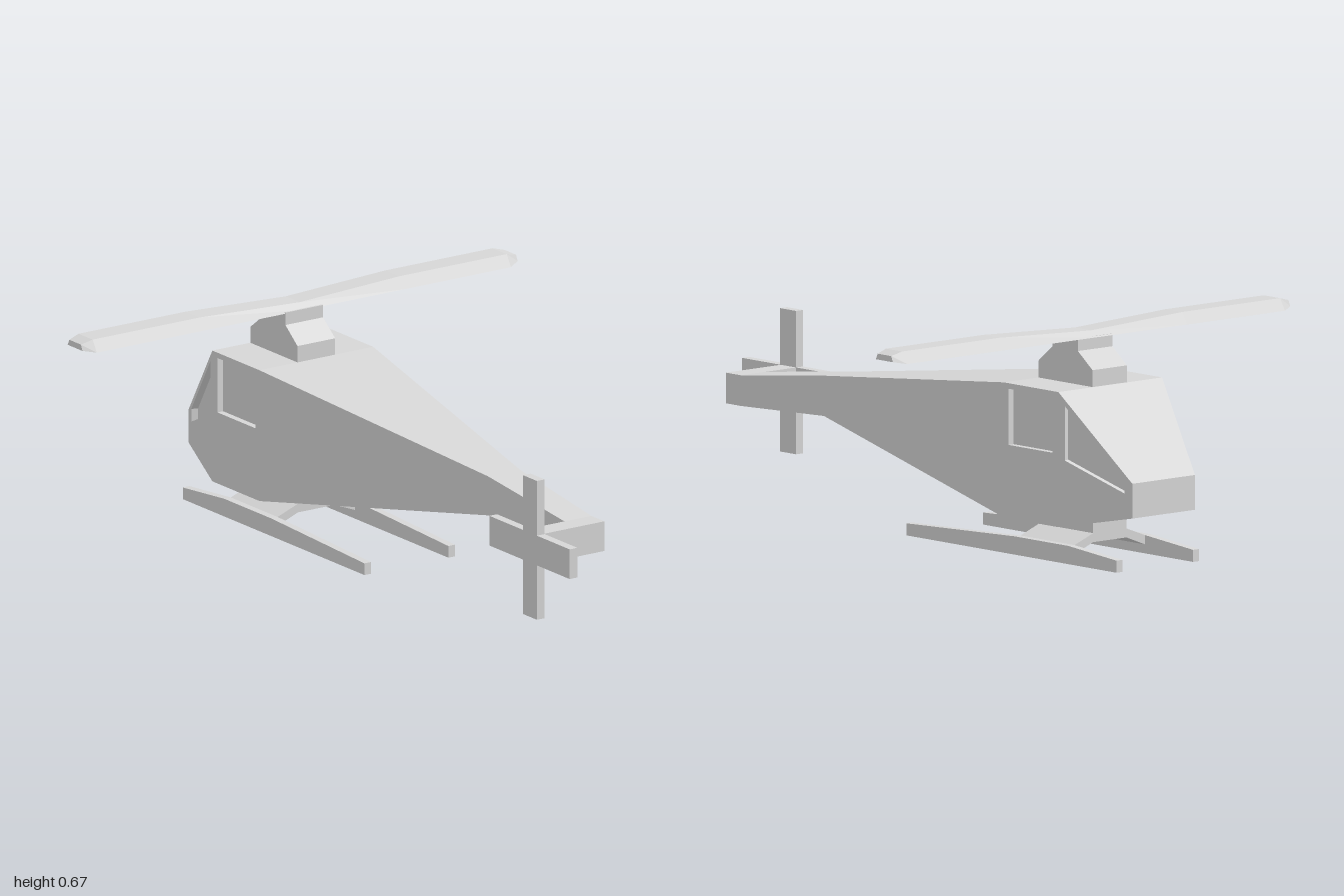
import * as THREE from 'three';

const grey = new THREE.MeshStandardMaterial({ color: 0xd6d6d6 });
grey.name = 'light grey';

// Flat-sided mesh from a list of counter-clockwise quads
function quadMesh(name, quads) {
  const pos = [];
  for (const [a, b, c, d] of quads) pos.push(...a, ...b, ...c, ...a, ...c, ...d);
  const geo = new THREE.BufferGeometry();
  geo.setAttribute('position', new THREE.Float32BufferAttribute(pos, 3));
  geo.computeVertexNormals();
  return named(name, geo);
}

function named(name, geo) {
  const mesh = new THREE.Mesh(geo, grey);
  mesh.name = name;
  return mesh;
}

function box(name, x0, x1, y0, y1, z0, z1) {
  const geo = new THREE.BoxGeometry(x1 - x0, y1 - y0, z1 - z0);
  geo.translate((x0 + x1) / 2, (y0 + y1) / 2, (z0 + z1) / 2);
  return named(name, geo);
}

// Outline extruded about its own plane by the given thickness
function prism(points, depth) {
  const shape = new THREE.Shape(points.map(p => new THREE.Vector2(...p)));
  const geo = new THREE.ExtrudeGeometry(shape, { depth, bevelEnabled: false });
  return geo.translate(0, 0, -depth / 2);
}

// Side outline in (z, y), extruded along x
const sidePrism = (points, width) => prism(points, width).rotateY(-Math.PI / 2);

// Quads joining four-cornered rings; skip(i, j) leaves a side open
function loft(rings, skip = () => false) {
  const quads = [];
  for (let i = 0; i < rings.length - 1; i++) {
    const a = rings[i], b = rings[i + 1];
    for (let j = 0; j < 4; j++) {
      const k = (j + 1) % 4;
      if (!skip(i, j)) quads.push([a[j], a[k], b[k], b[j]]);
    }
  }
  const first = rings[0];
  quads.push([first[0], first[3], first[2], first[1]], rings[rings.length - 1]);
  return quads;
}

const mirrorQuad = q => q.map(([x, y, z]) => [-x, y, z]).reverse();

export function createModel() {
  const model = new THREE.Group();
  model.name = 'helicopter';

  // Fuselage: z, half width, bottom, top
  const sections = [
    [-1.0, 0.12, 0.156, 0.257],
    [-0.77, 0.199, 0.112, 0.504],
    [-0.535, 0.199, 0.112, 0.504],
    [0.4, 0.056, 0.279, 0.396],
    [0.768, 0.047, 0.263, 0.352],
    [0.833, 0.047, 0.263, 0.352],
  ];
  const rings = sections.map(([z, w, b, t]) => [[w, t, z], [-w, t, z], [-w, b, z], [w, b, z]]);
  model.add(quadMesh('fuselage', loft(rings, (i, j) => i < 2 && j % 2 === 1)));

  // Cabin sides with recessed windows, corners as (z, y)
  const windows = [
    [[-0.975, 0.227], [-0.975, 0.265], [-0.79, 0.465], [-0.79, 0.307]],
    [[-0.745, 0.325], [-0.745, 0.488], [-0.555, 0.488], [-0.555, 0.325]],
  ];
  const frame = [], recess = [];
  windows.forEach((corners, n) => {
    const a = rings[n], b = rings[n + 1];
    const outer = [a[3], a[0], b[0], b[3]];
    const slope = (b[0][0] - a[0][0]) / (b[0][2] - a[0][2]);
    const inner = corners.map(([z, y]) => [a[0][0] + slope * (z - a[0][2]), y, z]);
    const s = 0.02 / Math.hypot(1, slope);
    const pane = inner.map(([x, y, z]) => [x - s, y, z + s * slope]);
    for (let i = 0; i < 4; i++) {
      const k = (i + 1) % 4;
      frame.push([outer[i], outer[k], inner[k], inner[i]]);
      recess.push([inner[i], inner[k], pane[k], pane[i]]);
    }
    recess.push(pane);
  });
  model.add(quadMesh('leftCabinSide', frame), quadMesh('leftWindows', recess));
  model.add(quadMesh('rightCabinSide', frame.map(mirrorQuad)));
  model.add(quadMesh('rightWindows', recess.map(mirrorQuad)));

  // Rotor mast
  model.add(named('rotorMast', sidePrism([
    [-0.768, 0.498], [-0.535, 0.498], [-0.535, 0.553], [-0.595, 0.601],
    [-0.595, 0.638], [-0.705, 0.638], [-0.705, 0.601], [-0.768, 0.553],
  ], 0.132)));

  // Main rotor: x, bottom half depth, top half depth, bottom, top
  const half = [
    [0.762, 0.037, 0.029, 0.641, 0.658],
    [0.725, 0.056, 0.035, 0.634, 0.668],
    [0.35, 0.056, 0.035, 0.634, 0.668],
    [0, 0.056, 0.035, 0.634, 0.652],
  ];
  const stations = [
    ...half.slice(0, 3).map(([x, ...rest]) => [-x, ...rest]),
    ...half.slice().reverse(),
  ];
  const zr = -0.653;
  model.add(quadMesh('mainRotor', loft(stations.map(([x, wb, wt, b, t]) =>
    [[x, t, zr - wt], [x, t, zr + wt], [x, b, zr + wb], [x, b, zr - wb]]))));

  // Tail rotor and its shaft
  model.add(box('tailRotorShaft', -0.166, -0.046, 0.263, 0.352, 0.768, 0.833));
  model.add(box('tailRotorUprightBlade', -0.192, -0.165, 0.1, 0.516, 0.768, 0.837));
  model.add(box('tailRotorFrontBlade', -0.192, -0.165, 0.263, 0.352, 0.6, 0.768));
  model.add(box('tailRotorBackBlade', -0.192, -0.165, 0.263, 0.352, 0.837, 1.0));

  // Landing gear: one spreading bracket and two skids
  const bracket = prism([
    [0.064, 0.118], [-0.064, 0.118], [-0.064, 0.08], [-0.138, 0.052], [-0.138, 0.025],
    [-0.064, 0.054], [0.064, 0.054], [0.138, 0.025], [0.138, 0.052], [0.064, 0.08],
  ], 0.233);
  model.add(named('skidBracket', bracket.translate(0, 0, -0.652)));
  for (const [side, name] of [[1, 'leftSkid'], [-1, 'rightSkid']]) {
    const skid = sidePrism([
      [-0.975, 0], [-0.07, 0], [-0.07, 0.035], [-0.535, 0.053], [-0.768, 0.053], [-0.975, 0.035],
    ], 0.023);
    model.add(named(name, skid.translate(side * 0.147, 0, 0)));
  }
  return model;
}
